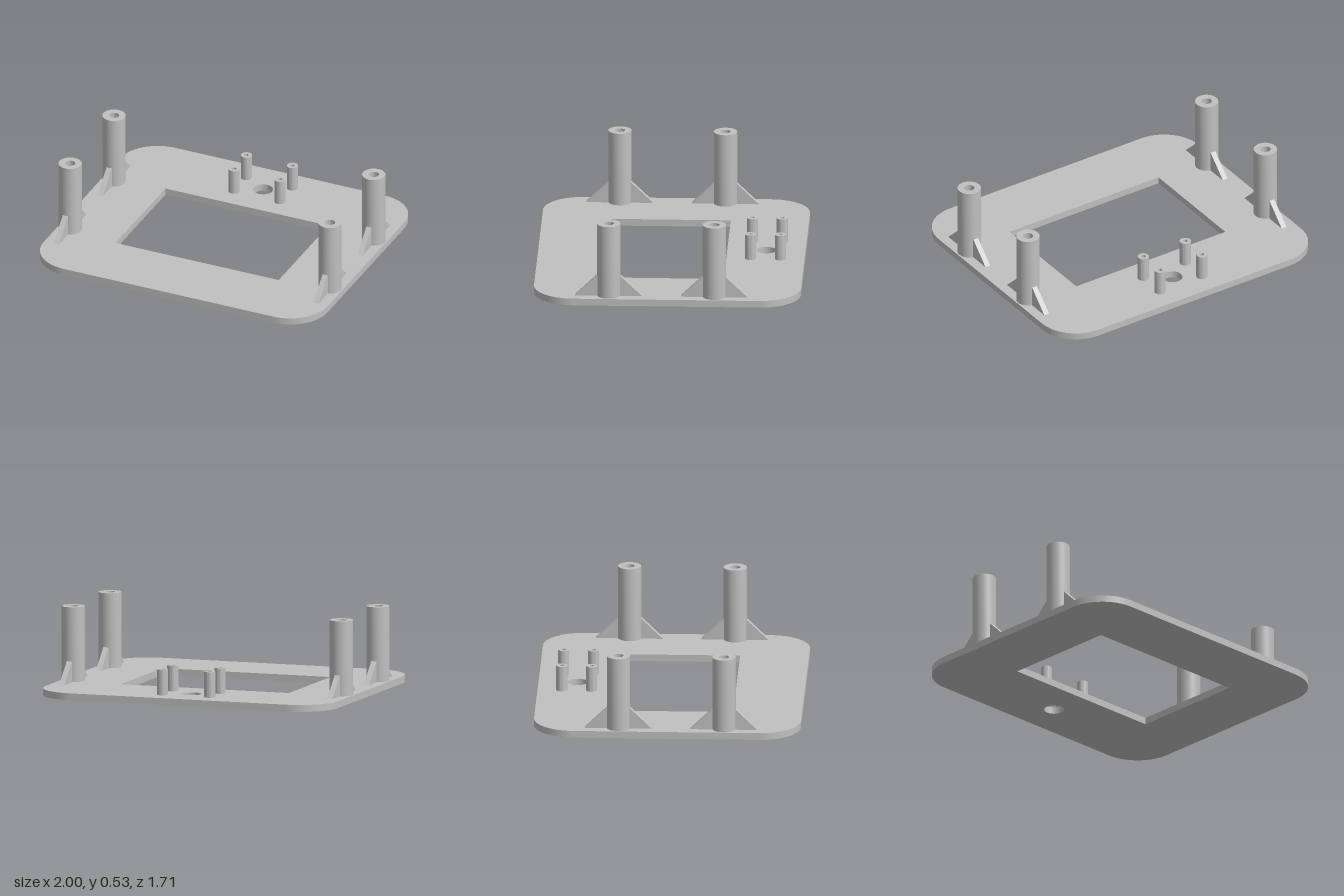
import * as THREE from 'three';
import { toCreasedNormals } from 'three/addons/utils/BufferGeometryUtils.js';

const PLATE_TOP = 0.045;

export function createModel() {
  const model = new THREE.Group();
  model.name = 'mountingFrame';
  const grey = new THREE.MeshStandardMaterial({ color: 0xc0c0c0 });
  grey.name = 'light grey';

  const add = (parent, name, geometry) => {
    const mesh = new THREE.Mesh(geometry, grey);
    mesh.name = name;
    parent.add(mesh);
    return mesh;
  };

  // Base plate: rounded outline with a window and a round hole (shape y is -z)
  const w = 1, d = 0.857, r = 0.26;
  const outline = new THREE.Shape();
  outline.absarc(w - r, d - r, r, 0, Math.PI / 2);
  outline.absarc(-w + r, d - r, r, Math.PI / 2, Math.PI);
  outline.absarc(-w + r, -d + r, r, Math.PI, Math.PI * 1.5);
  outline.absarc(w - r, -d + r, r, Math.PI * 1.5, Math.PI * 2);
  outline.closePath();
  outline.holes.push(new THREE.Path([
    new THREE.Vector2(-0.575, -0.415), new THREE.Vector2(-0.575, 0.355),
    new THREE.Vector2(0.575, 0.355), new THREE.Vector2(0.575, -0.415),
  ]));
  outline.holes.push(new THREE.Path().absarc(0, 0.605, 0.064, 0, Math.PI * 2, true));
  const plate = new THREE.ExtrudeGeometry(outline, { depth: PLATE_TOP, bevelEnabled: false, curveSegments: 20 });
  plate.rotateX(-Math.PI / 2);
  add(model, 'basePlate', toCreasedNormals(plate, 0.5));

  // Hollow post with a blind bore down to the plate
  const postGeometry = (radius, bore, top) => {
    const profile = [[radius, PLATE_TOP], [radius, top], [bore, top], [bore, PLATE_TOP + 0.002], [0, PLATE_TOP + 0.002]]
      .map(([x, y]) => new THREE.Vector2(x, y));
    return toCreasedNormals(new THREE.LatheGeometry(profile, 40), 0.5);
  };

  // Triangular rib leaning on a tall post, extending along +z from its wall
  const ribShape = new THREE.Shape([
    new THREE.Vector2(0.068, PLATE_TOP), new THREE.Vector2(0.215, PLATE_TOP),
    new THREE.Vector2(0.075, 0.18), new THREE.Vector2(0.068, 0.18),
  ]);
  const ribGeometry = new THREE.ExtrudeGeometry(ribShape, { depth: 0.036, bevelEnabled: false });
  ribGeometry.translate(0, 0, -0.018).rotateY(-Math.PI / 2);

  // Four tall posts, each with a front and a back rib
  const tall = postGeometry(0.075, 0.033, 0.53);
  for (const x of [-0.916, 0.916]) {
    for (const z of [-0.308, 0.37]) {
      const support = new THREE.Group();
      support.name = 'cornerSupport';
      support.position.set(x, 0, z);
      add(support, 'tallPost', tall);
      add(support, 'frontRib', ribGeometry);
      add(support, 'backRib', ribGeometry).rotation.y = Math.PI;
      model.add(support);
    }
  }

  // Four small standoffs around the round hole
  const small = postGeometry(0.036, 0.015, 0.21);
  for (const x of [-0.162, 0.162]) {
    for (const z of [-0.702, -0.51]) add(model, 'smallStandoff', small).position.set(x, 0, z);
  }

  return model;
}
